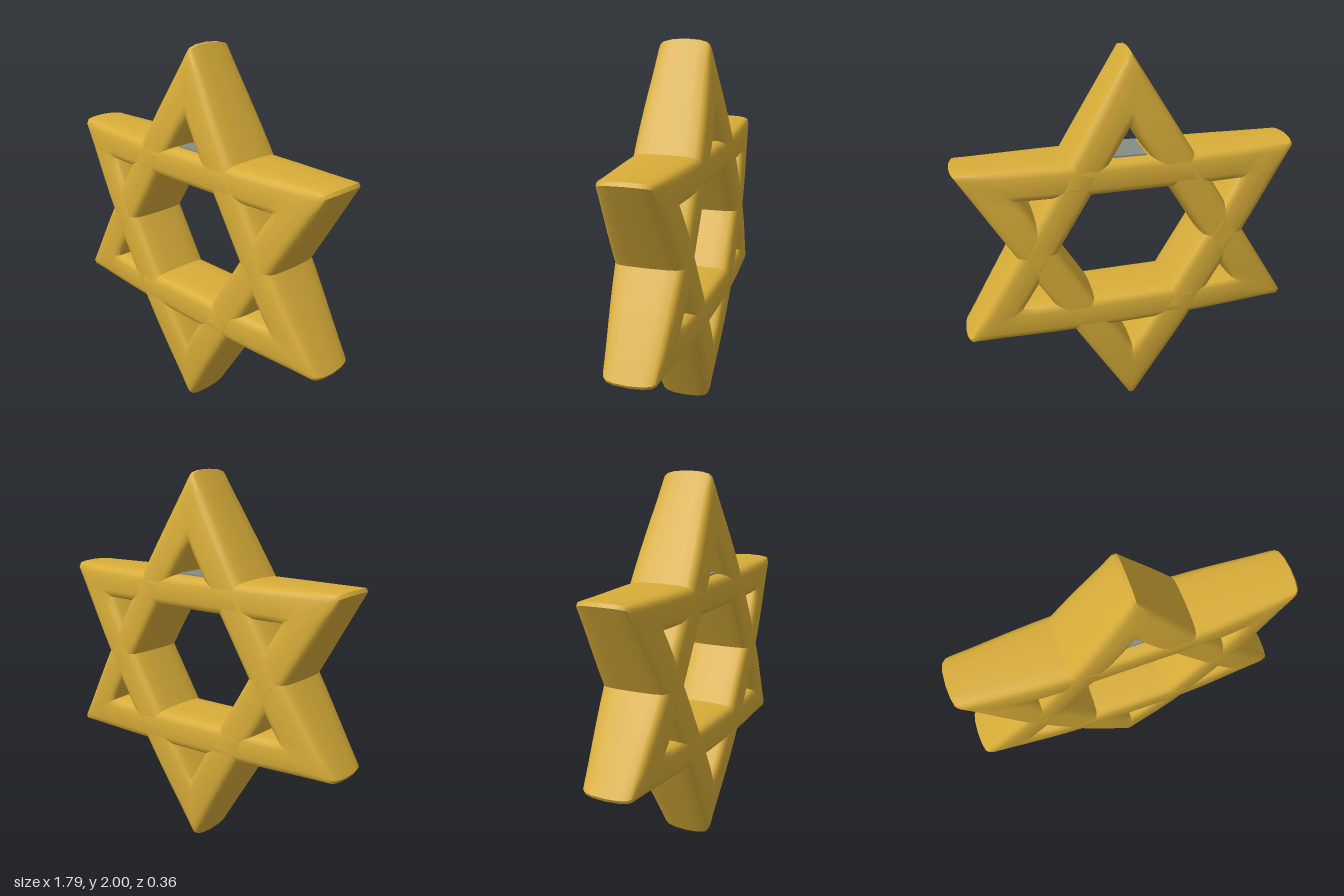
import * as THREE from 'three';
import { toCreasedNormals } from 'three/addons/utils/BufferGeometryUtils.js';

const gold = new THREE.MeshStandardMaterial({ color: 0xd8ad38 });
gold.name = 'gold';
const grey = new THREE.MeshStandardMaterial({ color: 0x868c86 });
grey.name = 'grey';

// Front half of the bar section: [fraction from outer to inner edge, fraction of half depth]
const half = [[0, 0], [0.012, 0.5], [0.04, 0.8], [0.08, 0.91], [0.15, 0.97], [0.25, 1],
  [0.75, 1], [0.85, 0.97], [0.92, 0.91], [0.96, 0.8], [0.988, 0.5], [1, 0]];
const section = [...half, ...half.slice(1, -1).reverse().map(([f, z]) => [f, -z])];

const STEPS = 16;
const BLUNT = 0.012; // share of each outer side cut off at the tips

// The bars get thinner in z towards the tips
function halfDepth(x, y) {
  const r = Math.hypot(x, y - 1);
  return 0.182 - 0.042 * THREE.MathUtils.smoothstep(r, 0.45, 1.05);
}

// Closed triangular frame; corners run counter-clockwise seen from the front
function triangleFrame(outer, inner) {
  const pos = [], index = [];
  for (let side = 0; side < 3; side++) {
    const next = (side + 1) % 3;
    for (let s = 0; s <= STEPS; s++) {
      const t = s / STEPS;
      const o = outer[side].clone().lerp(outer[next], BLUNT + t * (1 - 2 * BLUNT));
      const i = inner[side].clone().lerp(inner[next], t);
      for (const [f, z] of section) {
        const p = o.clone().lerp(i, f);
        pos.push(p.x, p.y, z * halfDepth(p.x, p.y));
      }
    }
  }
  const m = section.length, n = 3 * (STEPS + 1);
  for (let i = 0; i < n; i++) {
    for (let j = 0; j < m; j++) {
      const a = i * m + j, b = ((i + 1) % n) * m + j;
      const c = i * m + (j + 1) % m, d = ((i + 1) % n) * m + (j + 1) % m;
      index.push(a, b, c, b, d, c);
    }
  }
  const geo = new THREE.BufferGeometry();
  geo.setAttribute('position', new THREE.Float32BufferAttribute(pos, 3));
  geo.setIndex(index);
  return toCreasedNormals(geo, 0.7);
}

const points = list => list.map(([x, y]) => new THREE.Vector2(x, y));

export function createModel() {
  const model = new THREE.Group();
  model.name = 'sixPointedStar';

  const add = (name, geometry, material) => {
    const mesh = new THREE.Mesh(geometry, material);
    mesh.name = name;
    model.add(mesh);
    return mesh;
  };

  // Two interlocking triangles
  add('upwardTriangle', triangleFrame(
    points([[0.003, 2.019], [-0.905, 0.558], [0.895, 0.49]]),
    points([[0, 1.625], [-0.56, 0.725], [0.56, 0.7]])), gold);
  add('downwardTriangle', triangleFrame(
    points([[-0.012, -0.016], [0.905, 1.463], [-0.905, 1.485]]),
    points([[-0.008, 0.375], [0.56, 1.285], [-0.56, 1.3]])), gold);

  // Small grey plates inside the top and bottom openings
  const plate = new THREE.BoxGeometry(0.17, 0.008, 0.24);
  add('topPlate', plate, grey).position.set(0, 1.474, 0);
  add('bottomPlate', plate, grey).position.set(0, 0.522, 0);

  return model;
}
